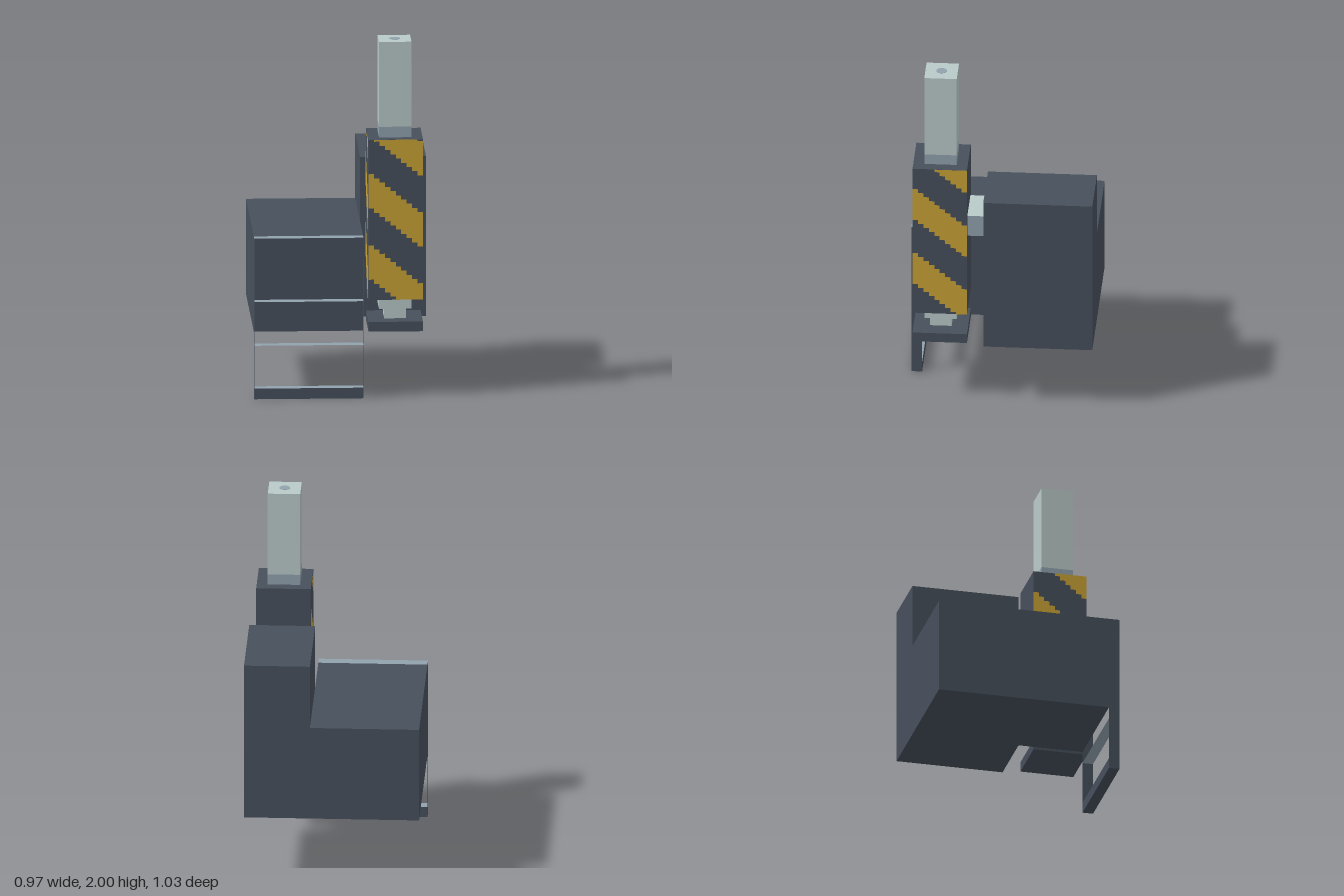
import * as THREE from 'three';
import { mergeGeometries } from 'three/addons/utils/BufferGeometryUtils.js';

export function createModel() {
  const model = new THREE.Group();
  const mat = (name, color, side = THREE.FrontSide) => {
    const m = new THREE.MeshStandardMaterial({ color, side });
    m.name = name;
    return m;
  };
  const dark = mat('darkSlate', 0x464f5b, THREE.DoubleSide);
  const steel = mat('blueSteel', 0x90a2ae, THREE.DoubleSide);
  const pale = mat('paleMetal', 0xb8c9c8);
  const yellow = mat('warningYellow', 0xc8a235);

  const add = (name, geometry, material, parent = model) => {
    const mesh = new THREE.Mesh(geometry, material);
    mesh.name = name;
    parent.add(mesh);
    return mesh;
  };
  // Box from its minimum and maximum on each axis
  const box = (name, [x0, x1], [y0, y1], [z0, z1], material, parent) => {
    const g = new THREE.BoxGeometry(x1 - x0, y1 - y0, z1 - z0);
    g.translate((x0 + x1) / 2, (y0 + y1) / 2, (z0 + z1) / 2);
    return add(name, g, material, parent);
  };
  // Same material on all sides but the top
  const topped = (side, top) => [side, side, top, side, side, side];

  // Stepped machine body
  box('lowBody', [-0.485, 0.12], [0.37, 0.91], [-0.515, 0.455], dark);
  box('tallBody', [0.12, 0.485], [0.37, 1.275], [-0.515, 0.09], dark);

  // Ladder: sheet sides, solid top and bottom bars, sheet rungs
  const ladder = new THREE.Group();
  ladder.name = 'ladder';
  model.add(ladder);
  const span = [-0.485, 0.12], depth = [0.455, 0.515];
  for (const x of span) {
    const g = new THREE.PlaneGeometry(0.06, 0.91).rotateY(Math.PI / 2);
    add('ladderSide', g.translate(x, 0.455, 0.485), dark, ladder);
  }
  box('topBar', span, [0.79, 0.91], depth, topped(dark, steel), ladder);
  box('bottomBar', span, [0, 0.06], depth, topped(dark, steel), ladder);
  for (const y of [0.303, 0.55]) {
    const g = new THREE.PlaneGeometry(0.605, 0.06).rotateX(-Math.PI / 2);
    add('rung', g.translate(-0.1825, y, 0.485), steel, ladder);
  }

  // Hammer column, centred on its own axis
  const column = new THREE.Group();
  column.name = 'column';
  column.position.set(0.3, 0, 0.334);
  model.add(column);
  const block = (name, half, y, material) =>
    box(name, [-half, half], y, [-half, half], material, column);
  block('footPlate', 0.151, [0.37, 0.425], dark);
  block('lowerNeck', 0.06, [0.425, 0.485], pale);
  block('upperNeck', 0.09, [0.485, 0.55], pale);
  block('housing', 0.151, [0.55, 1.457], dark);
  block('ramCollar', 0.09, [1.457, 1.517], steel);
  block('ram', 0.09, [1.517, 1.998], pale);

  // Small disc on the ram's top
  const disc = new THREE.CylinderGeometry(0.03, 0.03, 0.004, 12);
  add('ramDisc', disc.translate(0, 1.998, 0), steel, column);

  // Stepped diagonal stripes on three sides of the housing
  const stripes = (firstEdge) => {
    const parts = [], n = 10, w = 0.302 / n;
    for (let i = 0; i < n; i++) {
      for (let k = -1; k < 3; k++) {
        const edge = firstEdge - k * 0.403 - 0.8 * (i + 0.5) * w;
        const y1 = Math.min(1.457, edge), y0 = Math.max(0.55, edge - 0.195);
        if (y1 - y0 < 0.005) continue;
        const g = new THREE.PlaneGeometry(w, y1 - y0);
        parts.push(g.translate(-0.151 + (i + 0.5) * w, (y0 + y1) / 2, 0.153));
      }
    }
    return mergeGeometries(parts);
  };
  const faces = [['frontStripes', 1.275, 0], ['leftStripes', 1.342, 1], ['rightStripes', 1.342, -1]];
  for (const [name, edge, turn] of faces) {
    add(name, stripes(edge), yellow, column).rotation.y = turn * Math.PI / 2;
  }

  // Arm joining the column to the tall body
  box('connector', [0.18, 0.42], [1.03, 1.155], [0.09, 0.183], topped(steel, pale));

  return model;
}
